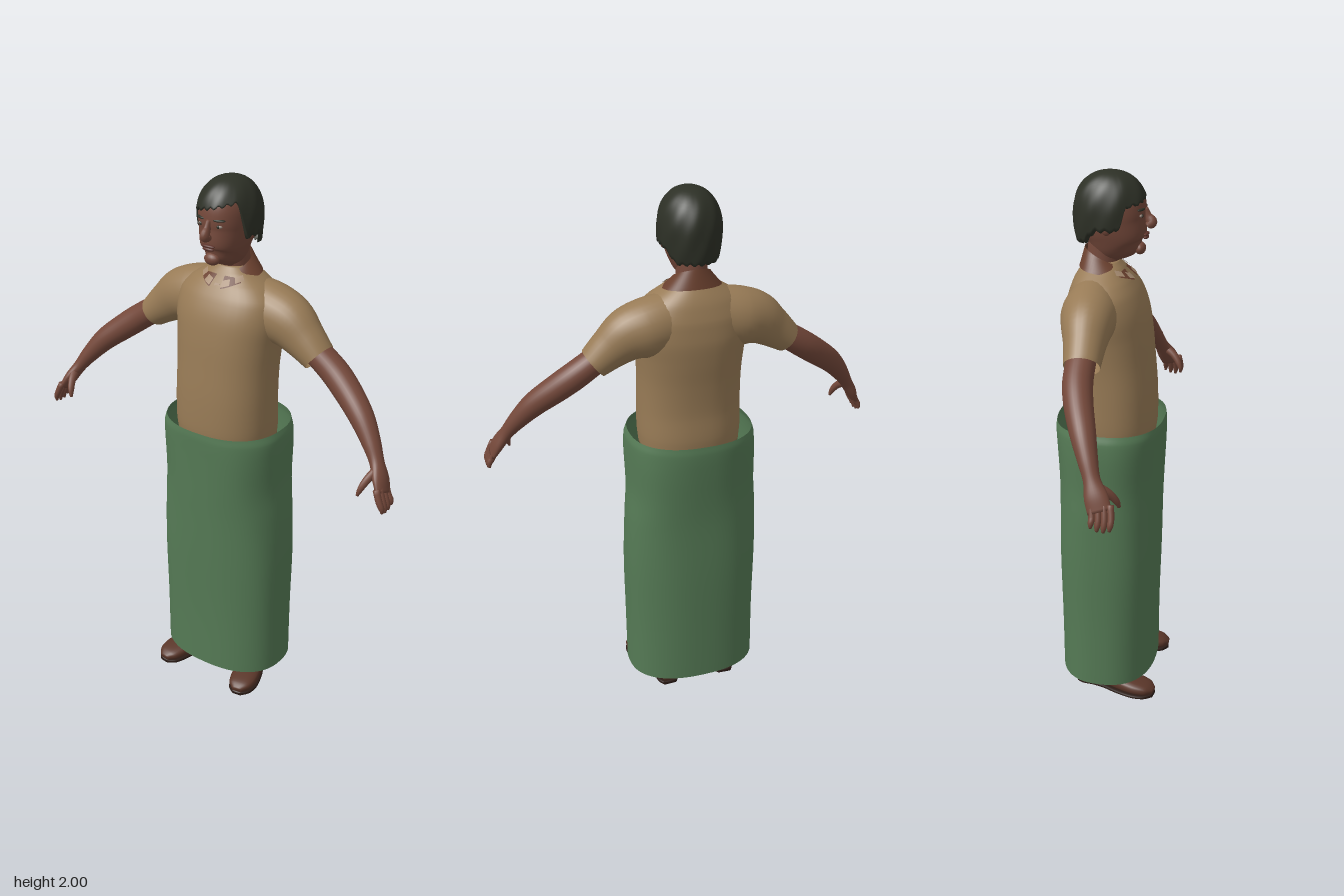
import * as THREE from 'three';

const mat = (name, color, side = THREE.FrontSide) =>
  Object.assign(new THREE.MeshStandardMaterial({ color, side }), { name });

// Smooth grid surface: fn(u, v) -> [x, y, z]; u may wrap round
function sheet(fn, nu, nv, closed) {
  const pos = [], idx = [], cols = closed ? nu : nu + 1;
  for (let j = 0; j <= nv; j++)
    for (let i = 0; i < cols; i++) pos.push(...fn(i / nu, j / nv));
  for (let j = 0; j < nv; j++)
    for (let i = 0; i < nu; i++) {
      const a = j * cols + i, b = j * cols + (i + 1) % cols;
      idx.push(a, a + cols, b, b, a + cols, b + cols);
    }
  const g = new THREE.BufferGeometry();
  g.setAttribute('position', new THREE.Float32BufferAttribute(pos, 3));
  g.setIndex(idx);
  g.computeVertexNormals();
  return g;
}

// Sweep of superellipses through points [x, y, z, radiusAcross, radiusAlongRef]
function loft(pts, { n = 2, seg = 28, steps = 5, ref = [0, 0, 1], caps = true, warp = () => 1 } = {}) {
  const path = new THREE.CatmullRomCurve3(pts.map(p => new THREE.Vector3(p[0], p[1], p[2])));
  const size = new THREE.CatmullRomCurve3(pts.map((p, i) => new THREE.Vector3(p[3], p[4], i * 0.05)));
  const rows = (pts.length - 1) * steps, extra = caps ? 1 : 0, total = rows + 2 * extra;
  const pow = c => Math.sign(c) * Math.abs(c) ** (2 / n);
  return sheet((u, v) => {
    const k = Math.round(v * total) - extra;
    const t = THREE.MathUtils.clamp(k / rows, 0, 1), th = u * Math.PI * 2;
    const c = path.getPoint(t), r = size.getPoint(t), T = path.getTangent(t);
    const N = new THREE.Vector3(...ref);
    N.addScaledVector(T, -N.dot(T)).normalize();
    const B = new THREE.Vector3().crossVectors(T, N);
    const w = k < 0 || k > rows ? 0 : warp(th, t);
    return c.addScaledVector(B, r.x * w * pow(Math.cos(th)))
      .addScaledVector(N, r.y * w * pow(Math.sin(th))).toArray();
  }, seg, total, true);
}

export function createModel() {
  const model = new THREE.Group();
  const skin = mat('skin brown', 0x74483a);
  const shirt = mat('shirt tan', 0x987b56, THREE.DoubleSide);
  const cloth = mat('wrap green', 0x557a55, THREE.DoubleSide);
  const hairMat = mat('hair black', 0x2d3026, THREE.DoubleSide);
  const collarMat = mat('collar brown', 0x6a402e, THREE.DoubleSide);
  const trim = mat('collar cream', 0xa58a70, THREE.DoubleSide);
  const shoeMat = mat('shoe brown', 0x5a3629);
  const soleMat = mat('sole dark brown', 0x2c1c16);
  const lipMat = mat('lip brown', 0x5c322a);
  const eyeMat = mat('eye grey', 0x8f8076);

  const add = (name, geo, material, parent = model) => {
    const m = new THREE.Mesh(geo, material);
    m.name = name;
    parent.add(m);
    return m;
  };
  const ball = (name, material, p, s) => {
    const m = add(name, new THREE.SphereGeometry(1, 16, 12), material);
    m.position.set(...p);
    m.scale.set(...s);
    return m;
  };
  // Upright body ring from height, half width, front z and back z
  const ring = ([y, rx, f, b]) => [0, y, (f + b) / 2, rx, (f - b) / 2];

  // Shirt body
  add('shirtBody', loft([
    [1.04, .185, .16, -.145], [1.1, .19, .167, -.148], [1.2, .19, .165, -.142], [1.32, .19, .155, -.147],
    [1.42, .197, .145, -.157], [1.5, .207, .13, -.162], [1.57, .2, .102, -.155], [1.62, .16, .073, -.137],
    [1.66, .1, .045, -.113], [1.685, .06, .025, -.095],
  ].map(ring), { n: 2.3, seg: 40 }), shirt);

  // Wrapped skirt, open at both ends, with soft folds
  add('wrapSkirt', loft([
    [.07, .25, .18, -.18], [.3, .251, .181, -.182], [.55, .254, .186, -.186], [.75, .248, .188, -.186],
    [.87, .24, .192, -.19], [1.0, .242, .197, -.197], [1.07, .239, .199, -.199], [1.1, .229, .196, -.196],
  ].map(ring), {
    n: 2.4, seg: 64, caps: false,
    warp: (a, t) => 1 + Math.sin(t * Math.PI) * (.01 * Math.sin(3 * a + 7 * t) + .006 * Math.sin(7 * a - 9 * t)),
  }), cloth);

  // Neck and head
  add('neck', loft([[0, 1.6, -.04, .062, .06], [0, 1.69, -.032, .056, .058], [0, 1.79, -.02, .056, .06]]), skin);
  add('head', loft([
    [1.698, .03, .085, .0], [1.715, .05, .108, -.035], [1.745, .068, .118, -.07], [1.785, .08, .123, -.09],
    [1.83, .087, .12, -.105], [1.87, .09, .12, -.11], [1.905, .088, .114, -.108], [1.94, .075, .09, -.095],
    [1.97, .045, .05, -.06],
  ].map(ring), { n: 2.2, seg: 36 }), skin);

  // Face
  add('nose', loft([[0, 1.872, .112, .01, .014], [0, 1.845, .125, .011, .016],
    [0, 1.826, .139, .017, .02], [0, 1.812, .128, .018, .015]], { seg: 16 }), skin);
  ball('upperLip', lipMat, [0, 1.784, .121, ], [.028, .006, .01]);
  ball('lowerLip', lipMat, [0, 1.773, .12], [.024, .007, .01]);
  ball('chin', skin, [0, 1.732, .1], [.03, .022, .02]);
  for (const s of [1, -1]) {
    ball('eye', eyeMat, [s * .036, 1.855, .108], [.014, .006, .007]);
    ball('iris', hairMat, [s * .036, 1.855, .112], [.006, .006, .005]);
    ball('brow', hairMat, [s * .038, 1.876, .109], [.022, .005, .008]).rotation.y = s * .35;
    ball('ear', skin, [s * .094, 1.825, -.002], [.012, .032, .02]);
  }

  // Hair cap with a slanted fringe, sideburns and a low nape
  const step = THREE.MathUtils.smoothstep, mix = THREE.MathUtils.lerp;
  add('hair', sheet((u, v) => {
    const a = (u > .5 ? u - 1 : u) * Math.PI * 2, d = Math.abs(a);
    let low = mix(1.908 + .025 * Math.sin(a), 1.805, step(d, .95, 1.25));
    low = mix(low, 1.755, step(d, 1.8, 2.4)) + .005 * Math.sin(23 * a);
    const end = Math.acos((low - 1.86) / .14), al = end * Math.min(1, v / .94);
    const sn = Math.sin(al);
    let r = al < Math.PI / 2 ? sn ** .85 : 1 - .25 * (1 - sn);
    r *= 1 + .012 * Math.sin(9 * a + 5 * al) * sn;
    if (v > .95) r *= .88;
    return [.111 * r * Math.sin(a), 1.86 + .14 * Math.cos(al), -.005 + .132 * r * Math.cos(a)];
  }, 96, 24, true), hairMat);

  // Collar standing at the nape and folding down to two front points
  const collar = (u, v, lift = 0) => {
    const a = .22 + u * (Math.PI * 2 - .44), f = (1 + Math.cos(a)) / 2;
    const rx = mix(.064, .106, v) + lift, rz = mix(.066, .084 + .036 * f, v) + lift;
    const y = mix(1.735 - .065 * f, 1.668 - .022 * f - .025 * f ** 8, v);
    return [rx * Math.sin(a), y + lift, -.03 + rz * Math.cos(a)];
  };
  add('collar', sheet((u, v) => collar(u, v), 48, 6), collarMat);
  for (const k of [0, 1])
    for (const u0 of [0, .08])
      add('collarPatch', sheet((u, v) => {
        const w = u0 + u * .05;
        return collar(k ? 1 - w : w, mix(.55, .95, v), .003);
      }, 6, 3), trim);
  const placket = add('placket', new THREE.BoxGeometry(.022, .06, .008), trim);
  placket.position.set(0, 1.607, .081);
  placket.rotation.x = -.55;

  for (const s of [1, -1]) {
    const side = new THREE.Group();
    side.name = s > 0 ? 'leftLimbs' : 'rightLimbs';
    model.add(side);
    const limb = (name, pts, material, opts) =>
      add(name, loft(pts.map(([x, ...p]) => [s * x, ...p]), opts), material, side);

    // Sleeve
    limb('sleeve', [[.07, 1.545, -.045, .105, .09], [.165, 1.527, -.045, .106, .1], [.233, 1.508, -.04, .097, .09],
      [.3, 1.462, -.034, .076, .073], [.362, 1.412, -.03, .058, .063]], shirt, { caps: false });

    // Arm running into the palm
    limb('arm', [[.31, 1.455, -.035, .046, .05], [.42, 1.38, -.03, .05, .052], [.49, 1.328, -.012, .049, .05],
      [.57, 1.262, .02, .043, .044], [.63, 1.192, .05, .032, .034], [.664, 1.143, .07, .024, .029],
      [.693, 1.097, .09, .021, .04], [.714, 1.055, .106, .014, .04]], skin);

    // Fingers and thumb
    for (let k = 0; k < 4; k++) {
      const z = .076 + k * .021, drop = [.012, .002, 0, .006][k];
      limb('finger', [[.705, 1.08, z, .012, .012], [.722, 1.04, z + .006, .012, .011],
        [.732, 1.012 + drop, z + .005, .01, .01], [.734, .994 + drop, z + .003, .005, .005]], skin, { seg: 10, steps: 3 });
    }
    limb('thumb', [[.675, 1.125, .09, .016, .018], [.662, 1.1, .125, .014, .015],
      [.65, 1.07, .147, .011, .012], [.643, 1.045, .156, .005, .006]], skin, { seg: 10, steps: 3 });

    // Leg under the skirt
    limb('leg', [[.118, .05, -.06, .036, .04], [.118, .15, -.06, .036, .042], [.118, .35, -.055, .052, .06],
      [.112, .55, -.03, .055, .06], [.105, .8, -.01, .075, .085], [.095, 1.05, 0, .085, .1]], skin);

    // Shoe and its flat sole, toes turned out
    const foot = [[.115, -.108, .026, .028], [.116, -.085, .038, .034], [.119, -.04, .041, .036], [.13, .01, .043, .035],
      [.15, .07, .05, .029], [.167, .13, .053, .025], [.175, .175, .043, .02], [.179, .2, .018, .012]];
    const along = { ref: [0, 1, 0], n: 2.6, seg: 24 };
    limb('shoe', foot.map(([x, z, w, h]) => [x, h + .008, z, w, h]), shoeMat, along);
    limb('sole', foot.map(([x, z, w]) => [x, .007, z, w + .002, .007]), soleMat, { ...along, n: 5 });
  }
  return model;
}
